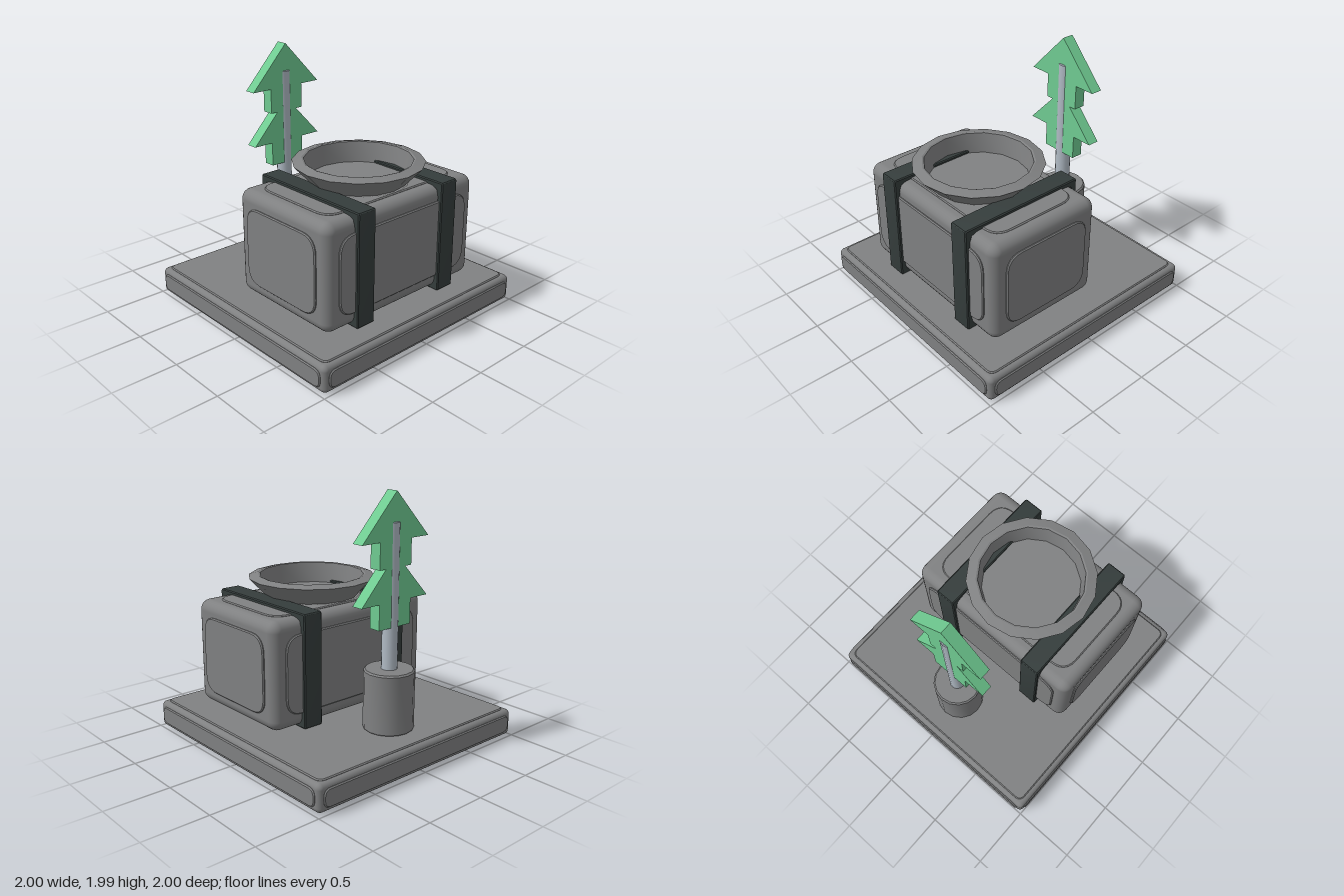
import * as THREE from 'three';
import { toCreasedNormals } from 'three/addons/utils/BufferGeometryUtils.js';
import { RoundedBoxGeometry } from 'three/addons/geometries/RoundedBoxGeometry.js';

const material = (name, color) => new THREE.MeshStandardMaterial({ name, color });

function roundedRect(path, hw, hh, r) {
  path.moveTo(-hw + r, -hh);
  path.lineTo(hw - r, -hh).quadraticCurveTo(hw, -hh, hw, -hh + r);
  path.lineTo(hw, hh - r).quadraticCurveTo(hw, hh, hw - r, hh);
  path.lineTo(-hw + r, hh).quadraticCurveTo(-hw, hh, -hw, hh - r);
  path.lineTo(-hw, -hh + r).quadraticCurveTo(-hw, -hh, -hw + r, -hh);
  return path;
}

function add(parent, name, geometry, mat, x = 0, y = 0, z = 0) {
  const mesh = new THREE.Mesh(geometry, mat);
  mesh.name = name;
  mesh.position.set(x, y, z);
  parent.add(mesh);
  return mesh;
}

// Raised panel whose outer face lies on z = 0
function panelGeometry(hw, hh, r) {
  const b = 0.008, depth = 0.015;
  const shape = roundedRect(new THREE.Shape(), hw - b, hh - b, r);
  const geo = new THREE.ExtrudeGeometry(shape, {
    depth, bevelThickness: b, bevelSize: b, bevelSegments: 1, curveSegments: 6,
  });
  return toCreasedNormals(geo.translate(0, 0, -depth - b), 0.5);
}

// Rounded block with a raised panel on each of its six faces
function panelledBlock(name, mat, outer, core, panel, coreRadius, panelRadius) {
  const block = new THREE.Group();
  block.name = name;
  add(block, name + 'Core',
    new RoundedBoxGeometry(core[0] * 2, core[1] * 2, core[2] * 2, 3, coreRadius), mat);
  for (const s of [1, -1]) {
    const front = add(block, name + (s > 0 ? 'FrontPanel' : 'BackPanel'),
      panelGeometry(panel[0], panel[1], panelRadius), mat, 0, 0, s * outer[2]);
    front.rotation.y = s > 0 ? 0 : Math.PI;
    const side = add(block, name + (s > 0 ? 'LeftPanel' : 'RightPanel'),
      panelGeometry(panel[2], panel[1], panelRadius), mat, s * outer[0], 0, 0);
    side.rotation.y = s * Math.PI / 2;
    const top = add(block, name + (s > 0 ? 'TopPanel' : 'BottomPanel'),
      panelGeometry(panel[0], panel[2], panelRadius), mat, 0, s * outer[1], 0);
    top.rotation.x = -s * Math.PI / 2;
  }
  return block;
}

export function createModel() {
  const model = new THREE.Group();
  model.name = 'packWithTree';
  const grey = material('grey', 0x808182);
  const strapColor = material('darkStrap', 0x353d3c);
  const steel = material('paleSteel', 0xb0bac4);
  const green = material('treeGreen', 0x70cc92);

  // Square base slab
  const base = panelledBlock('base', grey,
    [1, 0.115, 1], [0.99, 0.105, 0.99], [0.95, 0.07, 0.95], 0.04, 0.05);
  base.position.y = 0.115;
  model.add(base);

  // Main body
  const body = panelledBlock('body', grey,
    [0.77, 0.425, 0.505], [0.755, 0.415, 0.49], [0.65, 0.305, 0.38], 0.08, 0.13);
  body.position.set(0, 0.66, 0.267);
  model.add(body);

  // Two straps wrapped round the body
  const band = roundedRect(new THREE.Shape(), 0.52, 0.432, 0.01);
  band.holes.push(roundedRect(new THREE.Path(), 0.478, 0.39, 0.02));
  const strap = toCreasedNormals(new THREE.ExtrudeGeometry(band, {
    depth: 0.149, bevelThickness: 0.008, bevelSize: 0.008, bevelSegments: 1, curveSegments: 3,
  }).translate(0, 0, -0.0745).rotateY(Math.PI / 2), 0.5);
  add(model, 'leftStrap', strap, strapColor, 0.422, 0.67, 0.267);
  add(model, 'rightStrap', strap, strapColor, -0.422, 0.67, 0.267);

  // Shallow dish on top
  const dish = [[0, 1.08], [0.355, 1.08], [0.5, 1.235], [0.425, 1.255],
    [0.41, 1.25], [0.385, 1.09], [0, 1.09]].map(([r, y]) => new THREE.Vector2(r, y));
  add(model, 'dish', toCreasedNormals(new THREE.LatheGeometry(dish, 16), 0.45), grey, 0, 0, 0.265);

  // Pot and pole at the back
  const turned = (r, y0, y1, b, sides) => toCreasedNormals(new THREE.LatheGeometry(
    [[0, y0], [r - b, y0], [r, y0 + b], [r, y1 - b], [r - b, y1], [0, y1]]
      .map(([x, y]) => new THREE.Vector2(x, y)), sides), 0.55);
  add(model, 'pot', turned(0.19, 0.225, 0.69, 0.012, 16), grey, 0, 0, -0.615);
  add(model, 'pole', turned(0.06, 0.68, 1.77, 0.006, 16), steel, 0, 0, -0.615);

  // Flat two-tier tree, mirrored about x = 0
  const half = [[0.155, 1.01], [0.155, 1.2], [0.325, 1.2], [0.095, 1.445],
    [0.155, 1.445], [0.155, 1.64], [0.325, 1.64]];
  const outline = [...half, [0, 1.985], ...half.map(([x, y]) => [-x, y]).reverse()];
  const tree = new THREE.Shape(outline.map(([x, y]) => new THREE.Vector2(x, y)));
  add(model, 'tree', new THREE.ExtrudeGeometry(tree, { depth: 0.094, bevelEnabled: false }),
    green, 0, 0, -0.662);

  return model;
}
